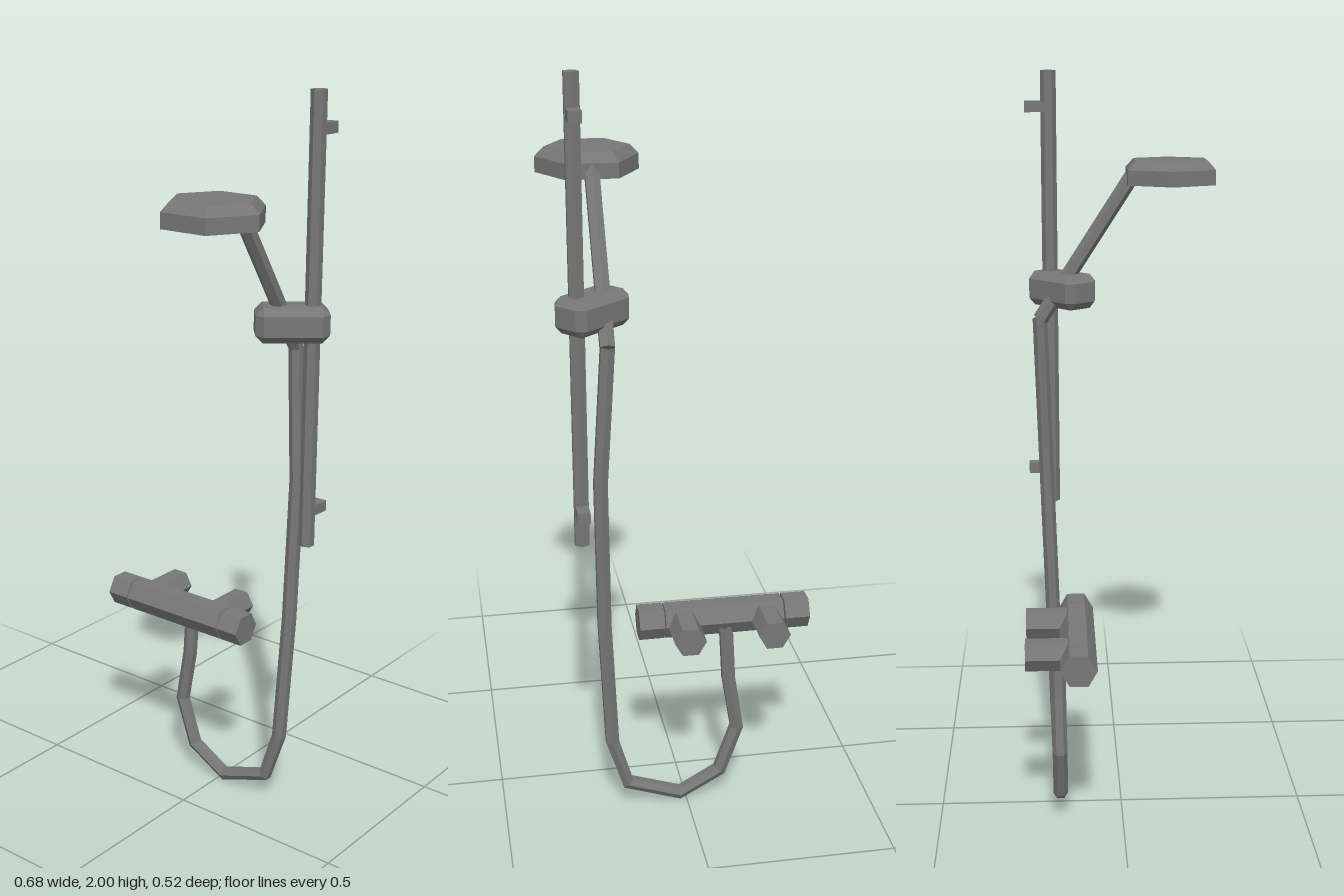
import * as THREE from 'three';
import { ConvexGeometry } from 'three/addons/geometries/ConvexGeometry.js';

const material = new THREE.MeshStandardMaterial({ color: 0x777777, flatShading: true });
const hoseMaterial = new THREE.MeshStandardMaterial({ color: 0x777777, flatShading: true, side: THREE.DoubleSide });
const UP = new THREE.Vector3(0, 1, 0);
const TURN = Math.PI / 6;

// Straight six-sided rod from a to b; spin turns its corners about the axis.
function hexRod(name, a, b, radius, spin = 0) {
  const from = new THREE.Vector3(...a);
  const to = new THREE.Vector3(...b);
  const axis = to.clone().sub(from);
  const rod = new THREE.Mesh(new THREE.CylinderGeometry(radius, radius, axis.length(), 6, 1, false, spin), material);
  rod.position.addVectors(from, to).multiplyScalar(0.5);
  rod.quaternion.setFromUnitVectors(UP, axis.normalize());
  rod.name = name;
  return rod;
}

// Box with every edge and corner cut off flat.
function chamferedBox(l, h, w, bevel) {
  const points = [];
  for (const x of [-1, 1]) for (const y of [-1, 1]) for (const z of [-1, 1]) {
    points.push(new THREE.Vector3(x * l, y * (h - bevel), z * (w - bevel)));
    points.push(new THREE.Vector3(x * (l - bevel), y * h, z * (w - bevel)));
    points.push(new THREE.Vector3(x * (l - bevel), y * (h - bevel), z * w));
  }
  return new ConvexGeometry(points);
}

// Path of straight pieces, with one tube ring at each point.
class Polyline extends THREE.Curve {
  constructor(points) {
    super();
    this.points = points.map((p) => new THREE.Vector3(...p));
  }
  getPoint(t, target = new THREE.Vector3()) {
    const s = t * (this.points.length - 1);
    const i = Math.min(Math.floor(s), this.points.length - 2);
    return target.lerpVectors(this.points[i], this.points[i + 1], s - i);
  }
  getPointAt(u, target) { return this.getPoint(u, target); }
  getTangentAt(u, target) { return this.getTangent(u, target); }
}

export function createModel() {
  const model = new THREE.Group();
  model.name = 'showerSet';

  // Slide rail with two square wall brackets
  const barX = 0.275, barZ = -0.183;
  model.add(hexRod('slideRail', [barX, 0.81, barZ], [barX, 2, barZ], 0.021));
  for (const y of [0.908, 1.905]) {
    const bracket = new THREE.Mesh(new THREE.BoxGeometry(0.033, 0.029, 0.064), material);
    bracket.name = 'railBracket';
    bracket.position.set(barX, y, -0.215);
    model.add(bracket);
  }

  // Sliding holder, turned to reach from the rail to the handle
  const holder = new THREE.Mesh(chamferedBox(0.095, 0.0465, 0.054, 0.02), material);
  holder.name = 'holder';
  holder.position.set(0.233, 1.42, -0.151);
  holder.rotation.y = THREE.MathUtils.degToRad(40);
  model.add(holder);

  // Shower head and slanted handle
  const profile = [[0, 1.706], [0.134, 1.706], [0.134, 1.746], [0.11, 1.77], [0, 1.77]];
  const head = new THREE.Mesh(
    new THREE.LatheGeometry(profile.map((p) => new THREE.Vector2(...p)), 6, TURN), material);
  head.name = 'showerHead';
  head.position.set(0.205, 0, 0.14);
  model.add(head);
  model.add(hexRod('handle', [0.205, 1.735, 0.044], [0.205, 1.342, -0.211], 0.021));

  // Mixer bar with a knob at each end
  const my = 0.537, mz = -0.1215;
  const pieces = [['leftKnob', 0.056, 0.124], ['mixerBody', -0.269, 0.053], ['rightKnob', -0.34, -0.273]];
  for (const [name, x0, x1] of pieces) {
    model.add(hexRod(name, [x0, my, mz], [x1, my, mz], 0.0475));
  }

  // Wall inlets
  for (const x of [-0.222, 0.004]) {
    model.add(hexRod('wallInlet', [x, my, mz], [x, my, -0.259], 0.0425, TURN));
  }

  // Hanging hose
  const path = [
    [-0.107, 0.52, -0.174], [-0.115, 0.375, -0.173], [-0.14, 0.22, -0.171], [-0.093, 0.085, -0.17],
    [0.018, 0.022, -0.17], [0.163, 0.073, -0.172], [0.205, 0.21, -0.177], [0.222, 0.575, -0.188],
    [0.227, 0.98, -0.201], [0.205, 1.345, -0.212],
  ];
  const hose = new THREE.Mesh(
    new THREE.TubeGeometry(new Polyline(path), path.length - 1, 0.02, 6), hoseMaterial);
  hose.name = 'hose';
  model.add(hose);

  return model;
}
